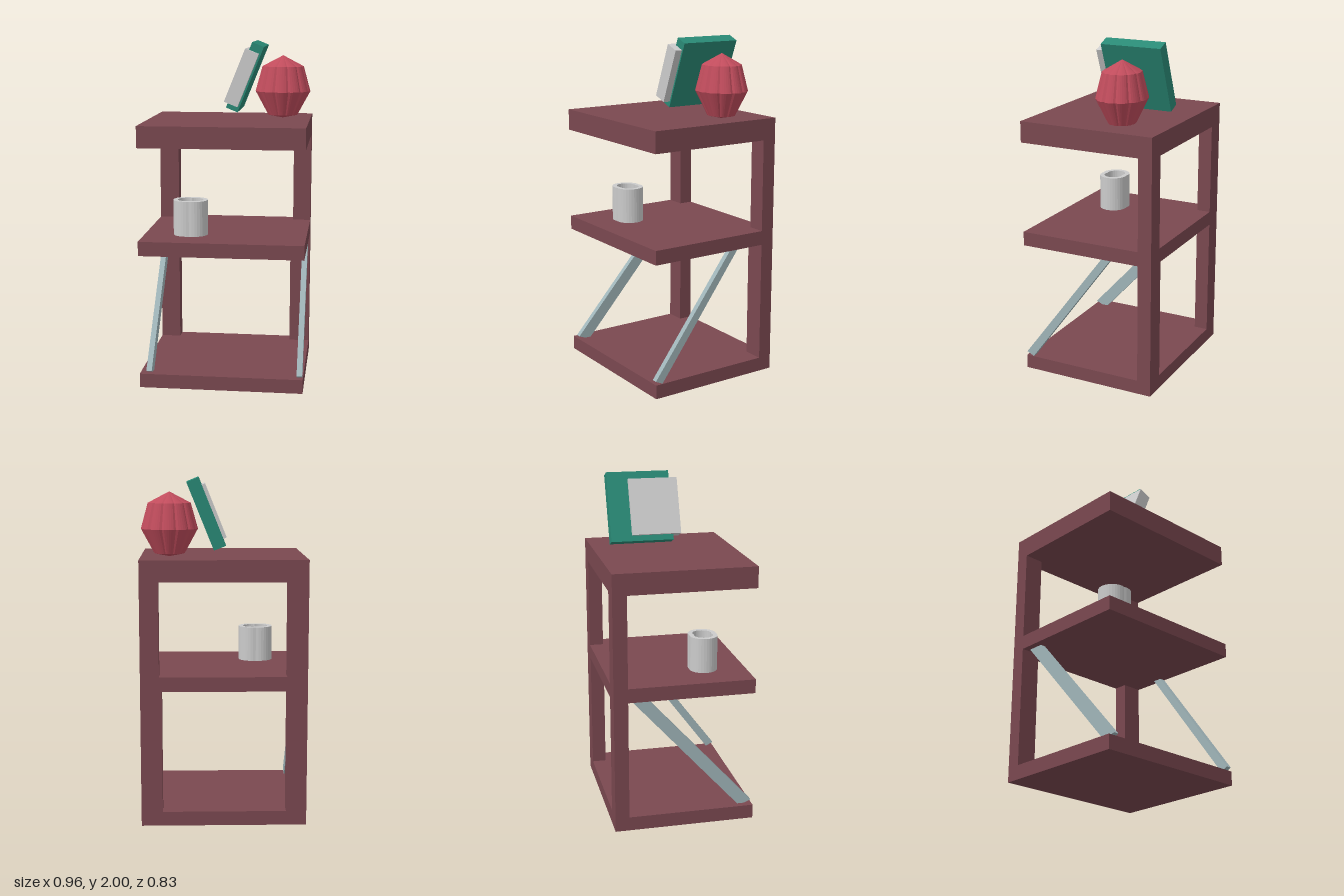
import * as THREE from 'three';

const mat = (color) => new THREE.MeshStandardMaterial({ color, flatShading: true });
const wood = mat(0x7a4850), green = mat(0x2a8a76), steel = mat(0x9fb4b8);
const red = mat(0xc04c5c), grey = mat(0xcccccc);

function add(group, name, geometry, material) {
  const mesh = new THREE.Mesh(geometry, material);
  mesh.name = name;
  group.add(mesh);
  return mesh;
}

// Box given by its limits on each axis
function boxBetween(group, name, [x0, x1], [y0, y1], [z0, z1], material) {
  const mesh = add(group, name, new THREE.BoxGeometry(x1 - x0, y1 - y0, z1 - z0), material);
  mesh.position.set((x0 + x1) / 2, (y0 + y1) / 2, (z0 + z1) / 2);
  return mesh;
}

// Slanted bar: outline in (z, y), extruded from x0 to x1
function brace(group, name, outline, x0, x1) {
  const shape = new THREE.Shape(outline.map(([z, y]) => new THREE.Vector2(z, y)));
  const geo = new THREE.ExtrudeGeometry(shape, { depth: x1 - x0, bevelEnabled: false });
  geo.rotateY(-Math.PI / 2);
  add(group, name, geo, steel).position.x = x1;
}

// Outline of two overlapping circles, creased where they meet
function twinArc(path, r, offset) {
  const a = Math.acos(-offset / r);
  path.absarc(offset, 0, r, -a, a, false);
  path.absarc(-offset, 0, r, Math.PI - a, Math.PI + a, false);
  path.closePath();
  return path;
}

function createCup() {
  const cup = new THREE.Group();
  cup.name = 'cup';
  const wall = twinArc(new THREE.Shape(), 0.083, 0.019);
  wall.holes.push(twinArc(new THREE.Path(), 0.056, 0.019));
  const parts = [
    ['cupWall', wall, 0.21],
    ['cupFloor', twinArc(new THREE.Shape(), 0.06, 0.019), 0.02],
  ];
  for (const [name, shape, depth] of parts) {
    const geo = new THREE.ExtrudeGeometry(shape, { depth, bevelEnabled: false, curveSegments: 9 });
    geo.rotateX(-Math.PI / 2);
    add(cup, name, geo, grey);
  }
  cup.position.set(-0.207, 0.875, 0.167);
  return cup;
}

// Fluted faceted body: a lathe whose radius is pinched at regular grooves
function flutedGeometry() {
  const profile = [[0, 0], [0.088, 0.018], [0.165, 0.16], [0.124, 0.308], [0, 0.373]]
    .map(([r, y]) => new THREE.Vector2(r, y));
  const flutes = 12;
  const geo = new THREE.LatheGeometry(profile, flutes * 6);
  const pos = geo.attributes.position;
  for (let i = 0; i < pos.count; i++) {
    const x = pos.getX(i), z = pos.getZ(i);
    const groove = Math.pow(Math.abs(Math.cos(Math.atan2(z, x) * flutes / 2)), 0.5);
    const k = 0.94 + 0.06 * groove;
    pos.setX(i, x * k);
    pos.setZ(i, z * k * 0.88);
  }
  geo.computeVertexNormals();
  return geo;
}

export function createModel() {
  const model = new THREE.Group();
  model.name = 'shelfUnit';

  // Shelves
  const wide = [-0.478, 0.478], deep = [-0.415, 0.415];
  boxBetween(model, 'bottomShelf', wide, [0, 0.083], deep, wood);
  boxBetween(model, 'middleShelf', wide, [0.793, 0.877], deep, wood);
  boxBetween(model, 'topShelf', wide, [1.418, 1.543], deep, wood);

  // Back posts, in lower and upper lengths
  const back = [-0.415, -0.332], low = [0.083, 0.793], high = [0.877, 1.418];
  boxBetween(model, 'lowerRightPost', [-0.478, -0.36], low, back, wood);
  boxBetween(model, 'upperRightPost', [-0.478, -0.36], high, back, wood);
  boxBetween(model, 'lowerLeftPost', [0.355, 0.478], low, back, wood);
  boxBetween(model, 'upperLeftPost', [0.37, 0.478], high, back, wood);

  // Diagonal braces
  brace(model, 'leftBrace', [[0.37, 0.083], [0.415, 0.105], [-0.1, 0.793], [-0.155, 0.793]], 0.442, 0.475);
  brace(model, 'rightBrace', [[0.33, 0.083], [0.37, 0.083], [0.412, 0.1], [-0.213, 0.793], [-0.31, 0.793]], -0.44, -0.408);

  // Cup on the middle shelf
  model.add(createCup());

  // Fluted ornament on the top shelf
  add(model, 'flutedOrnament', flutedGeometry(), red).position.set(0.31, 1.543, -0.15);

  // Tilted pair of slabs leaning toward the ornament
  const tilt = -0.383;
  const cover = add(model, 'greenSlab', new THREE.BoxGeometry(0.074, 0.412, 0.37), green);
  cover.position.set(0.098, 1.794, -0.147);
  cover.rotation.z = tilt;
  const block = add(model, 'greySlab', new THREE.BoxGeometry(0.085, 0.332, 0.29), grey);
  block.position.set(0.081, 1.793, -0.064);
  block.rotation.z = tilt;

  return model;
}
